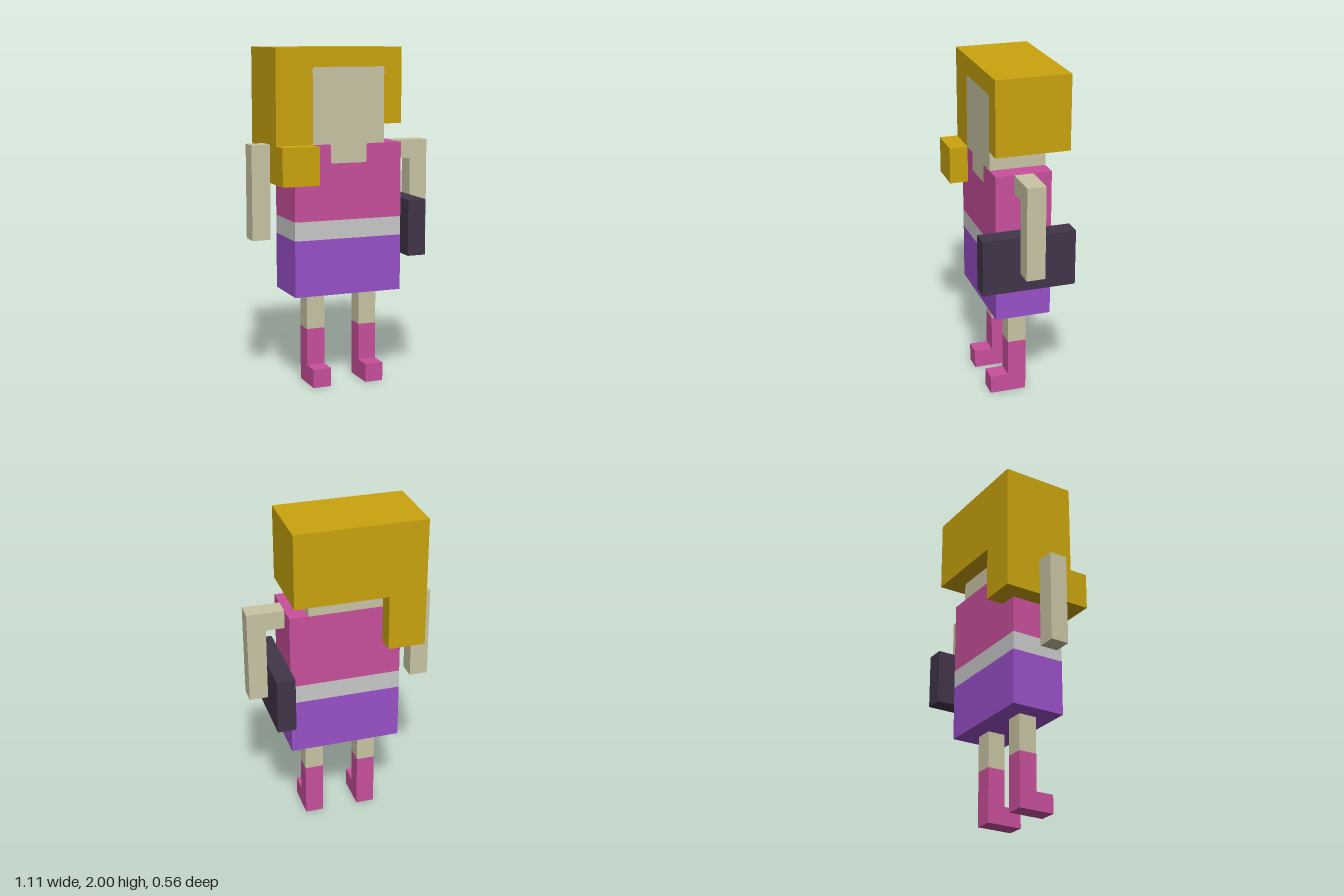
import * as THREE from 'three';

const U = 1 / 9; // one block

function mat(name, color) {
  const m = new THREE.MeshStandardMaterial({ color });
  m.name = name;
  return m;
}

export function createModel() {
  const gold = mat('golden hair', 0xc9a40e);
  const skin = mat('skin', 0xc9c4a4);
  const pink = mat('pink', 0xc9509c);
  const silver = mat('silver', 0xc9c9c9);
  const purple = mat('purple', 0x9950c9);
  const dark = mat('dark plum', 0x42354a);

  const model = new THREE.Group();
  model.name = 'figure';

  const group = (name) => {
    const g = new THREE.Group();
    g.name = name;
    model.add(g);
    return g;
  };

  // Box given by its limits in blocks
  const block = (parent, name, material, [x0, x1], [y0, y1], [z0, z1]) => {
    const geo = new THREE.BoxGeometry((x1 - x0) * U, (y1 - y0) * U, (z1 - z0) * U);
    const mesh = new THREE.Mesh(geo, material);
    mesh.position.set(((x0 + x1) / 2) * U, ((y0 + y1) / 2) * U, ((z0 + z1) / 2) * U);
    mesh.name = name;
    parent.add(mesh);
  };

  // Legs with boots
  for (const [side, x] of [['right', [-2, -1]], ['left', [1, 2]]]) {
    const leg = group(side + 'Leg');
    block(leg, 'shin', skin, x, [3, 5], [-0.5, 0.5]);
    block(leg, 'boot', pink, x, [0, 3], [-0.5, 0.5]);
    block(leg, 'bootToe', pink, x, [0, 1], [0.5, 1.5]);
  }

  // Clothed body
  const body = group('body');
  block(body, 'skirt', purple, [-3, 3], [5, 8], [-1.5, 1.5]);
  block(body, 'belt', silver, [-3, 3], [8, 9], [-1.5, 1.5]);
  block(body, 'top', pink, [-3, 3], [9, 13], [-1.5, 1.5]);

  // Arms and shoulder
  const arms = group('arms');
  block(arms, 'rightArm', skin, [-5, -4], [8, 13], [-0.5, 0.5]);
  block(arms, 'leftArm', skin, [4, 5], [8, 13], [-0.5, 0.5]);
  block(arms, 'leftShoulder', skin, [3, 4], [12, 13], [-0.5, 0.5]);

  // Bag carried under the left arm
  block(model, 'bag', dark, [3, 4], [7, 10], [-2.5, 2.5]);

  // Neck, and a thin face plate that runs down into the neckline
  const head = group('head');
  block(head, 'neck', skin, [-2, 2], [13, 14], [-1.5, 1.5]);
  const r = 0.12;
  const s = new THREE.Shape();
  s.moveTo(-1 + r, 12);
  s.lineTo(1 - r, 12);
  s.quadraticCurveTo(1, 12, 1, 12 + r);
  s.lineTo(1, 13 - r);
  s.quadraticCurveTo(1, 13, 1 + r, 13);
  s.lineTo(2, 13);
  s.lineTo(2, 17 - r);
  s.quadraticCurveTo(2, 17, 2 - r, 17);
  s.lineTo(-2 + r, 17);
  s.quadraticCurveTo(-2, 17, -2, 17 - r);
  s.lineTo(-2, 13);
  s.lineTo(-1 - r, 13);
  s.quadraticCurveTo(-1, 13, -1, 13 - r);
  s.lineTo(-1, 12 + r);
  s.quadraticCurveTo(-1, 12, -1 + r, 12);
  const face = new THREE.Mesh(new THREE.ShapeGeometry(s, 4), skin);
  face.name = 'face';
  face.scale.setScalar(U);
  face.position.z = 1.5 * U + 0.002;
  head.add(face);

  // Hair with a long lock wrapping the right shoulder
  const hair = group('hair');
  block(hair, 'hairCap', gold, [-4, 3], [14, 18], [-2.5, 1.5]);
  block(hair, 'lockRoot', gold, [-4, -2], [13, 14], [-2.5, 1.5]);
  block(hair, 'lockSide', gold, [-4, -3], [11, 13], [-1.5, 1.5]);
  block(hair, 'lockBack', gold, [-4, -2], [11, 13], [-2.5, -1.5]);
  block(hair, 'lockFront', gold, [-4, -2], [11, 13], [1.5, 2.5]);

  return model;
}
